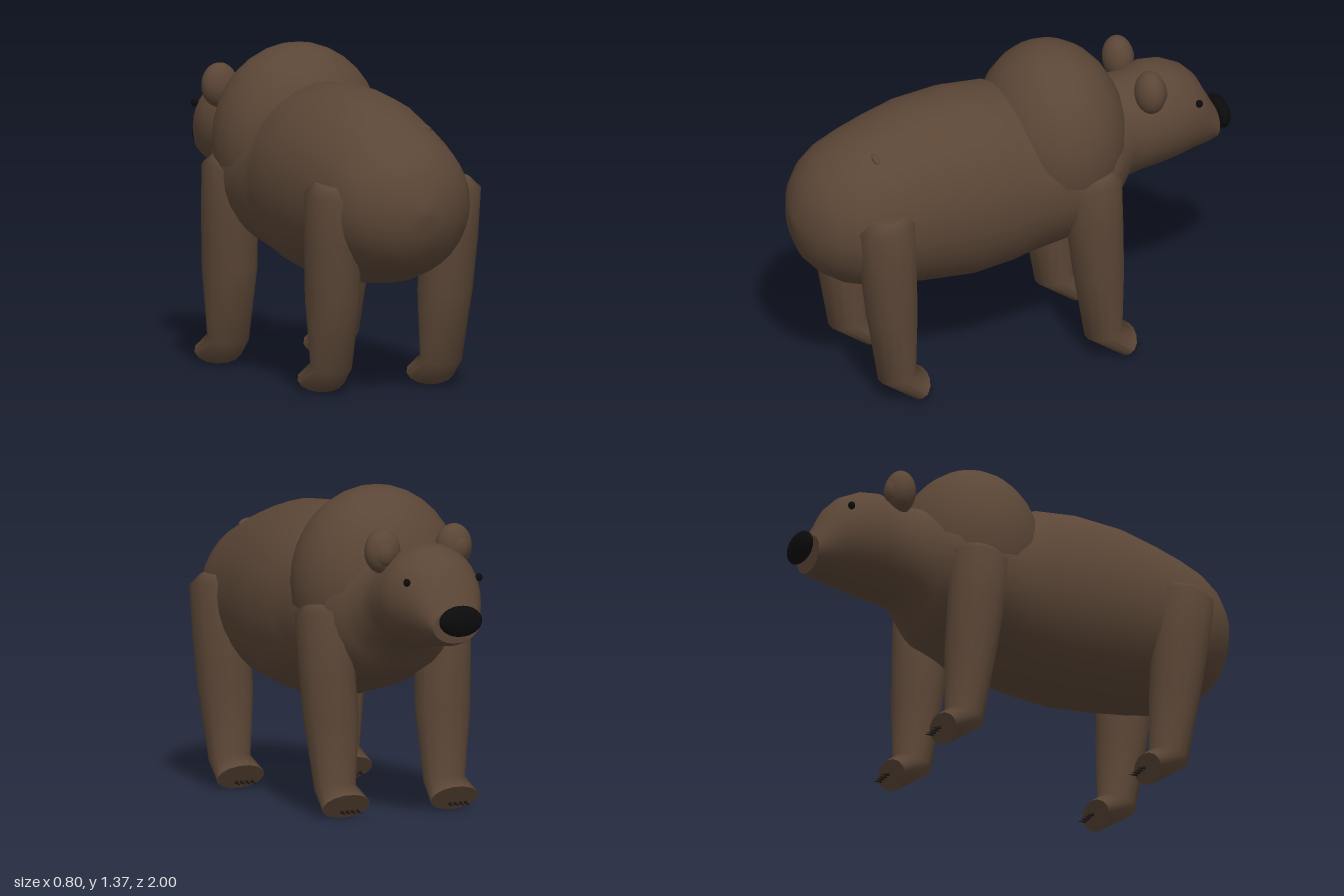
import * as THREE from 'three';

const brown = new THREE.MeshStandardMaterial({ color: 0x5b4636 });
brown.name = 'brown fur';
const black = new THREE.MeshStandardMaterial({ color: 0x0b0b0b });
black.name = 'black nose';
const dark = new THREE.MeshStandardMaterial({ color: 0x1e1814 });
dark.name = 'dark claw';

// Skins elliptical rings. Ring: [z0, y0, z1, y1, xCentre, xRadius],
// where (z0, y0) and (z1, y1) are opposite edges of the ring.
function loft(rings, sides) {
  const pos = [], index = [];
  const ringPoints = ([z0, y0, z1, y1, xc, rx]) => {
    for (let j = 0; j < sides; j++) {
      const a = (j / sides) * Math.PI * 2, s = Math.sin(a) / 2;
      pos.push(xc + rx * Math.cos(a), (y0 + y1) / 2 + (y1 - y0) * s, (z0 + z1) / 2 + (z1 - z0) * s);
    }
  };
  rings.forEach(ringPoints);
  for (let i = 0; i < rings.length - 1; i++) {
    for (let j = 0; j < sides; j++) {
      const k = (j + 1) % sides, a = i * sides, b = a + sides;
      index.push(a + j, a + k, b + k, a + j, b + k, b + j);
    }
  }
  // Flat end caps with their own vertices
  [rings[0], rings[rings.length - 1]].forEach((r, end) => {
    const base = pos.length / 3;
    ringPoints(r);
    pos.push(r[4], (r[1] + r[3]) / 2, (r[0] + r[2]) / 2);
    for (let j = 0; j < sides; j++) {
      const k = (j + 1) % sides;
      index.push(base + sides, base + (end ? j : k), base + (end ? k : j));
    }
  });
  const g = new THREE.BufferGeometry();
  g.setAttribute('position', new THREE.Float32BufferAttribute(pos, 3));
  g.setIndex(index);
  g.computeVertexNormals();
  return g;
}

export function createModel() {
  const bear = new THREE.Group();
  bear.name = 'bear';

  function add(name, geometry, material, x = 0, y = 0, z = 0) {
    const m = new THREE.Mesh(geometry, material);
    m.name = name;
    m.position.set(x, y, z);
    bear.add(m);
    return m;
  }
  function ball(name, material, [x, y, z], [rx, ry, rz]) {
    const m = add(name, new THREE.SphereGeometry(1, 24, 16), material, x, y, z);
    m.scale.set(rx, ry, rz);
    return m;
  }

  // Head, neck and trunk from snout to rump: [z, bottom, top, half width]
  const trunk = [
    [-0.88, 0.785, 1.04, 0.135], [-0.85, 0.78, 1.1, 0.155], [-0.8, 0.775, 1.15, 0.18],
    [-0.72, 0.76, 1.187, 0.213], [-0.64, 0.745, 1.195, 0.22], [-0.55, 0.73, 1.165, 0.212],
    [-0.48, 0.715, 1.16, 0.22], [-0.42, 0.64, 1.16, 0.27], [-0.36, 0.585, 1.16, 0.32],
    [-0.2, 0.515, 1.17, 0.365], [-0.02, 0.47, 1.2, 0.346], [0.07, 0.445, 1.245, 0.36],
    [0.25, 0.425, 1.257, 0.375], [0.45, 0.438, 1.238, 0.362], [0.6, 0.455, 1.195, 0.342],
    [0.72, 0.475, 1.15, 0.328], [0.81, 0.505, 1.11, 0.305], [0.89, 0.555, 1.055, 0.255],
    [0.95, 0.62, 0.99, 0.18], [0.985, 0.7, 0.91, 0.1], [1.0, 0.79, 0.82, 0.015],
  ].map(([z, b, t, w]) => [z, b, z, t, 0, w]);
  add('body', loft([[-0.915, 0.8, -0.93, 0.95, 0, 0.11], ...trunk], 32), brown);
  ball('shoulderHump', brown, [0, 0.97, -0.19], [0.372, 0.41, 0.315]);
  ball('furTuft', brown, [0.16, 1.115, 0.685], [0.03, 0.014, 0.015]).rotation.z = -0.4;

  // Face
  ball('nose', black, [0, 0.9, -0.96], [0.1, 0.066, 0.04]);
  for (const s of [1, -1]) {
    ball('eye', black, [s * 0.172, 1.055, -0.8], [0.015, 0.017, 0.015]);
    ball('ear', brown, [s * 0.17, 1.16, -0.575], [0.08, 0.095, 0.065]);
    ball('innerEar', brown, [s * 0.175, 1.155, -0.605], [0.05, 0.06, 0.042]);
  }

  // Legs, listed from the sole of the paw up to the thigh
  const leg = [
    [0.57, 0.004, 0.5, 0.11, 0.258, 0.112],
    [0.71, 0.1, 0.55, 0.15, 0.26, 0.09],
    [0.765, 0.42, 0.547, 0.42, 0.266, 0.119],
    [0.8, 0.65, 0.555, 0.65, 0.277, 0.12],
    [0.82, 0.85, 0.565, 0.88, 0.285, 0.116],
    [0.77, 0.9, 0.61, 0.91, 0.295, 0.06],
  ];
  for (const [name, shift] of [['rearLeg', 0], ['frontLeg', -0.95]]) {
    for (const s of [1, -1]) {
      const rings = leg.map(([z0, y0, z1, y1, x, r]) => [z0 + shift, y0, z1 + shift, y1, s * x, r]);
      add(name, loft(rings, 14), brown);
      // Four small claws pointing forward
      for (let i = 0; i < 4; i++) {
        const x = s * (0.22 + i * 0.025);
        add('claw', new THREE.ConeGeometry(0.008, 0.04, 6), dark, x, 0.036, 0.485 + shift)
          .rotation.x = -Math.PI / 2 - 0.2;
      }
    }
  }
  return bear;
}
